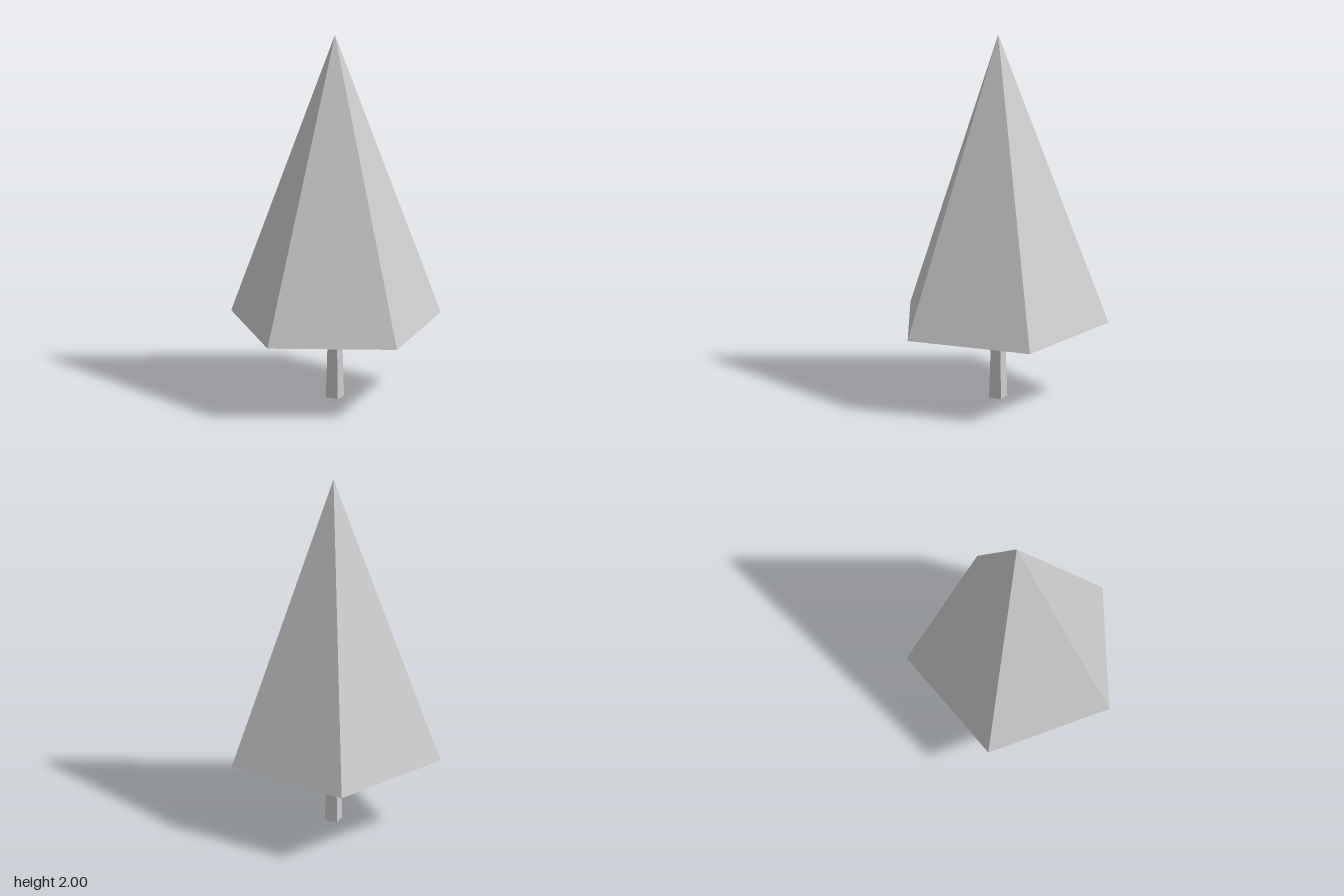
import * as THREE from 'three';

export function createModel() {
  const group = new THREE.Group();
  const lightGrey = new THREE.MeshStandardMaterial({
    color: 0xcccccc, flatShading: true, side: THREE.DoubleSide,
  });
  lightGrey.name = 'lightGrey';

  const centreX = -0.055; // the five-sided crown is off-centre to its corner
  const crownBase = 0.413;

  // each part stands on its base, with one corner pointing to +x
  function addPart(name, topRadius, bottomRadius, bottom, top, sides, open) {
    const geometry = new THREE.CylinderGeometry(
      topRadius, bottomRadius, top - bottom, sides, 1, open, Math.PI / 2);
    const mesh = new THREE.Mesh(geometry, lightGrey);
    mesh.name = name;
    mesh.position.set(centreX, (bottom + top) / 2, 0);
    group.add(mesh);
  }

  // pyramid of foliage with a closed underside
  addPart('crown', 0, 0.58, crownBase, 2, 5, false);
  // tapering four-sided trunk, open at its ends
  addPart('trunk', 0.037, 0.05, 0, crownBase, 4, true);

  return group;
}
